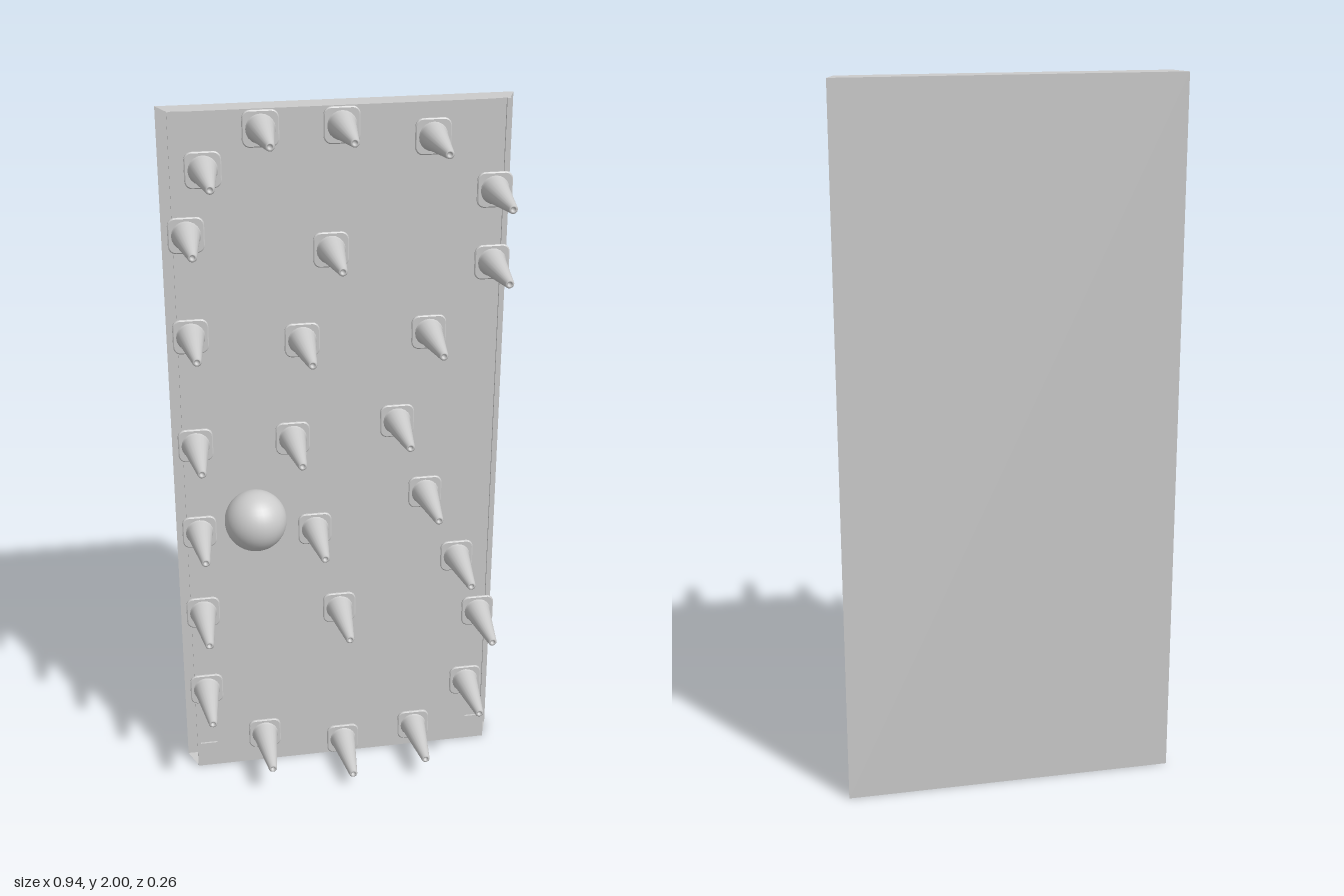
import * as THREE from 'three';

const material = new THREE.MeshStandardMaterial({ color: 0xcccccc, side: THREE.DoubleSide });

function add(parent, name, geometry, x = 0, y = 0, z = 0) {
  const mesh = new THREE.Mesh(geometry, material);
  mesh.name = name;
  mesh.position.set(x, y, z);
  parent.add(mesh);
  return mesh;
}

// Rounded square outline for the foot of each cone
function roundedSquare(h, r) {
  const s = new THREE.Shape();
  s.absarc(h - r, h - r, r, 0, Math.PI / 2);
  s.absarc(-h + r, h - r, r, Math.PI / 2, Math.PI);
  s.absarc(-h + r, -h + r, r, Math.PI, Math.PI * 1.5);
  s.absarc(h - r, -h + r, r, Math.PI * 1.5, Math.PI * 2);
  s.closePath();
  return s;
}

// Flat end cap, wider at the back than at the front
function endCap() {
  const s = new THREE.Shape([
    new THREE.Vector2(-0.47, 0.13), new THREE.Vector2(-0.445, 0.066),
    new THREE.Vector2(-0.385, 0.06), new THREE.Vector2(0.385, 0.06),
    new THREE.Vector2(0.445, 0.066), new THREE.Vector2(0.47, 0.13),
  ]);
  return new THREE.ShapeGeometry(s).rotateX(-Math.PI / 2);
}

export function createModel() {
  const model = new THREE.Group();
  model.name = 'studdedBoard';

  // Hollow board: back and front skins, closed at top and bottom, open at the sides
  const board = new THREE.Group();
  board.name = 'board';
  model.add(board);
  add(board, 'backPanel', new THREE.PlaneGeometry(0.94, 2).rotateY(Math.PI), 0, 1, -0.13);
  add(board, 'frontPanel', new THREE.PlaneGeometry(0.77, 2), 0, 1, -0.06);
  add(board, 'topCap', endCap(), 0, 2, 0);
  add(board, 'bottomCap', endCap().rotateZ(Math.PI), 0, 0, 0);
  for (const side of [-1, 1]) {
    // Shallow side channel with a small raised block near the foot
    add(board, 'sideChannel', new THREE.PlaneGeometry(0.06, 2), side * 0.415, 1, -0.066);
    add(board, 'channelLip', new THREE.BoxGeometry(0.01, 2, 0.006), side * 0.44, 1, -0.063);
    add(board, 'channelFoot', new THREE.BoxGeometry(0.06, 0.08, 0.006), side * 0.415, 0.04, -0.063);
  }

  // Cones: thin rounded square foot with a tapered body pointing forward
  const footGeometry = new THREE.ExtrudeGeometry(roundedSquare(0.045, 0.018), {
    depth: 0.004, bevelEnabled: true, bevelSize: 0.003, bevelThickness: 0.002,
    bevelSegments: 1, curveSegments: 4,
  });
  const bodyGeometry = new THREE.LatheGeometry([
    [0.039, 0], [0.036, 0.006], [0.012, 0.178], [0.009, 0.18], [0.006, 0.18], [0.005, 0.172], [0, 0.172],
  ].map(([r, y]) => new THREE.Vector2(r, y)), 20).rotateX(Math.PI / 2);

  const spots = [
    [-0.21, 1.95], [0, 1.95], [0.24, 1.91], [-0.36, 1.85], [-0.41, 1.68],
    [0.41, 1.76], [-0.03, 1.62], [0.41, 1.56], [-0.41, 1.4], [-0.11, 1.37],
    [0.24, 1.37], [-0.41, 1.08], [-0.14, 1.08], [0.155, 1.11], [0.24, 0.88],
    [-0.41, 0.81], [-0.08, 0.79], [0.34, 0.66], [-0.41, 0.545], [-0.01, 0.52],
    [0.41, 0.465], [-0.41, 0.28], [0.38, 0.22], [-0.24, 0.1], [0, 0.05], [0.22, 0.075],
  ];
  for (const [x, y] of spots) {
    const cone = new THREE.Group();
    cone.name = 'cone';
    cone.position.set(x, y, -0.058);
    add(cone, 'coneFoot', footGeometry);
    add(cone, 'coneBody', bodyGeometry, 0, 0, 0.006);
    model.add(cone);
  }

  // Ball resting against the board
  add(model, 'ball', new THREE.SphereGeometry(0.086, 32, 20), -0.26, 0.88, 0.034);
  return model;
}
